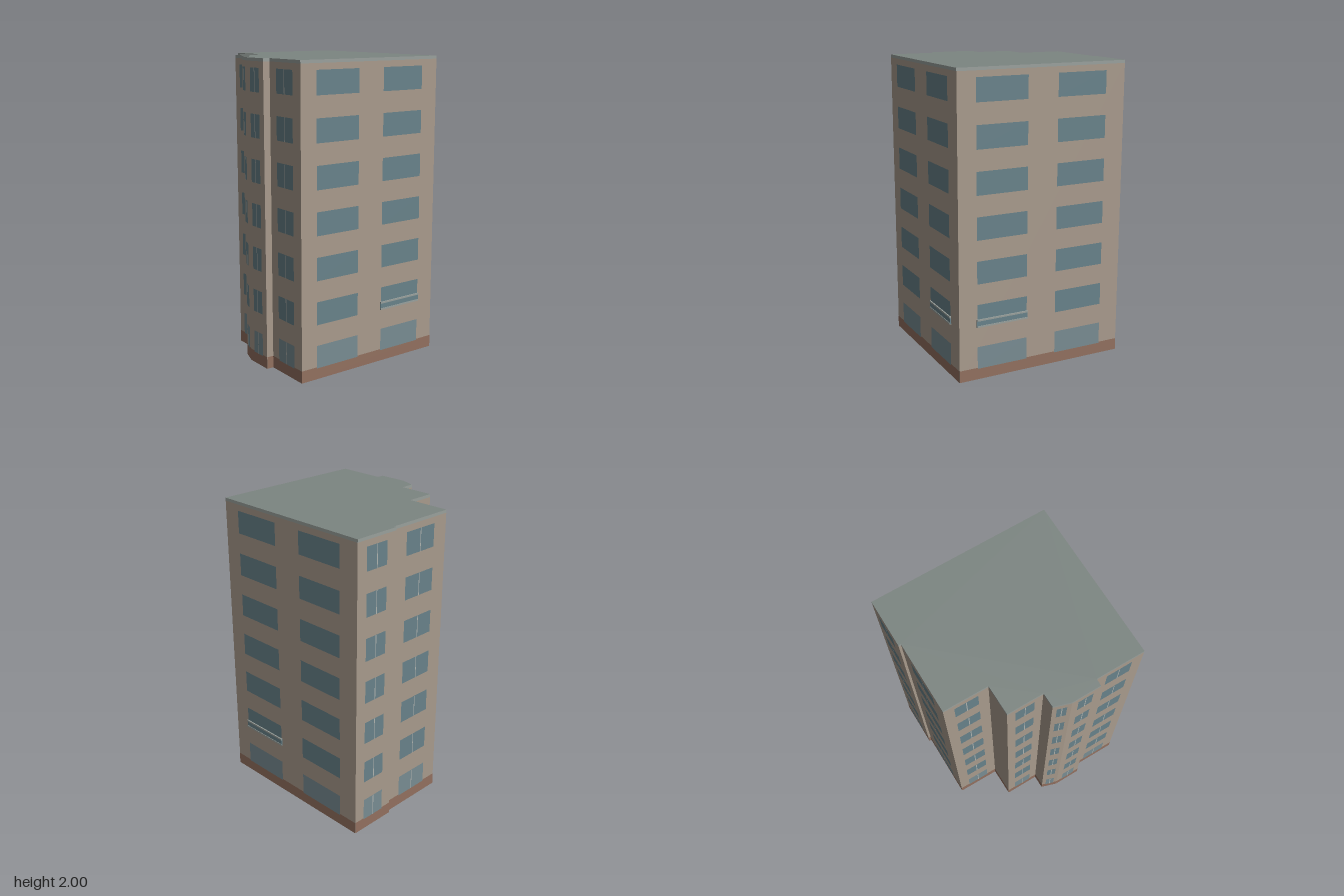
import * as THREE from 'three';

const paint = (color, side = THREE.FrontSide) => new THREE.MeshStandardMaterial({ color, side });

// Footprint corners [x, z], clockwise seen from above
const PLAN = [
  [-0.39, -0.74], [0.695, -0.253], [0.253, 0.737], [-0.045, 0.603], [-0.065, 0.645],
  [-0.24, 0.567], [-0.325, 0.49], [-0.288, 0.403], [-0.506, 0.305], [-0.428, 0.123],
  [-0.697, 0], [-0.505, -0.438], [-0.52, -0.445],
];

// Window columns per wall: [start, end] as fractions of the wall, left to right from outside
const WIDE = { columns: [[0.106, 0.405], [0.585, 0.882]], split: false };
const PAIR = { columns: [[0.23, 0.76]], split: true };
const WINDOWS = { 0: WIDE, 1: WIDE, 2: PAIR, 4: PAIR, 5: PAIR, 7: PAIR, 9: PAIR, 10: PAIR, 12: PAIR };
const LEDGES = { 0: 0, 1: 1 }; // wall index -> column carrying a shallow balcony

const HEIGHT = 2, TRIM = 0.02, PLINTH = 0.08;
const FLOORS = 7, FIRST = 0.073, PITCH = 0.2862, WIN_H = 0.15;

export function createModel() {
  const model = new THREE.Group();
  model.name = 'apartmentBlock';

  const wallMat = paint(0xa89a8c, THREE.DoubleSide);
  const trimMat = paint(0x99a09c, THREE.DoubleSide);
  const roofMat = paint(0x7c8581, THREE.DoubleSide);
  const plinthMat = paint(0x92705f);
  const glassMat = paint(0x68828a);
  const groundGlassMat = paint(0x788c92);
  const mullionMat = paint(0xb0b4b0);

  PLAN.forEach((p, i) => {
    const q = PLAN[(i + 1) % PLAN.length];
    const dx = p[0] - q[0], dz = p[1] - q[1];
    const len = Math.hypot(dx, dz);

    // Local frame: x runs along the wall, +z points outwards
    const side = new THREE.Group();
    side.name = 'facade' + (i + 1);
    side.position.set(q[0], 0, q[1]);
    side.rotation.y = Math.atan2(-dz, dx);
    model.add(side);

    const panel = (name, x0, x1, y0, y1, out, mat) => {
      const mesh = new THREE.Mesh(new THREE.PlaneGeometry(x1 - x0, y1 - y0), mat);
      mesh.position.set((x0 + x1) / 2, (y0 + y1) / 2, out);
      mesh.name = name;
      side.add(mesh);
    };
    const bar = (name, x0, x1, y0, y1, depth, mat) => {
      const mesh = new THREE.Mesh(new THREE.BoxGeometry(x1 - x0, y1 - y0, depth), mat);
      mesh.position.set((x0 + x1) / 2, (y0 + y1) / 2, depth / 2);
      mesh.name = name;
      side.add(mesh);
    };

    panel('wall', 0, len, 0, HEIGHT - TRIM, 0, wallMat);
    panel('roofTrim', 0, len, HEIGHT - TRIM, HEIGHT, 0, trimMat);
    panel('plinth', 0, len, 0, PLINTH, 0.0015, plinthMat);

    const layout = WINDOWS[i];
    if (!layout) return;
    for (const [a, b] of layout.columns) {
      const x0 = a * len, x1 = b * len, mid = (x0 + x1) / 2;
      for (let f = 0; f < FLOORS; f++) {
        const y = FIRST + f * PITCH;
        panel('window', x0, x1, y, y + WIN_H, 0.003, f ? glassMat : groundGlassMat);
        if (layout.split) panel('mullion', mid - 0.003, mid + 0.003, y, y + WIN_H, 0.0045, mullionMat);
      }
    }

    // Shallow balcony across one first-floor window
    if (i in LEDGES) {
      const [a, b] = layout.columns[LEDGES[i]];
      const x0 = a * len - 0.005, x1 = b * len + 0.005;
      bar('balconyPanel', x0, x1, 0.36, 0.408, 0.008, glassMat);
      bar('balconyRail', x0, x1, 0.4, 0.411, 0.011, trimMat);
      bar('balconyBase', x0, x1, 0.357, 0.368, 0.011, trimMat);
    }
  });

  // Flat roof, open underside
  const outline = new THREE.Shape(PLAN.map(([x, z]) => new THREE.Vector2(x, -z)));
  const roof = new THREE.Mesh(new THREE.ShapeGeometry(outline).rotateX(-Math.PI / 2), roofMat);
  roof.position.y = HEIGHT;
  roof.name = 'roof';
  model.add(roof);

  return model;
}
